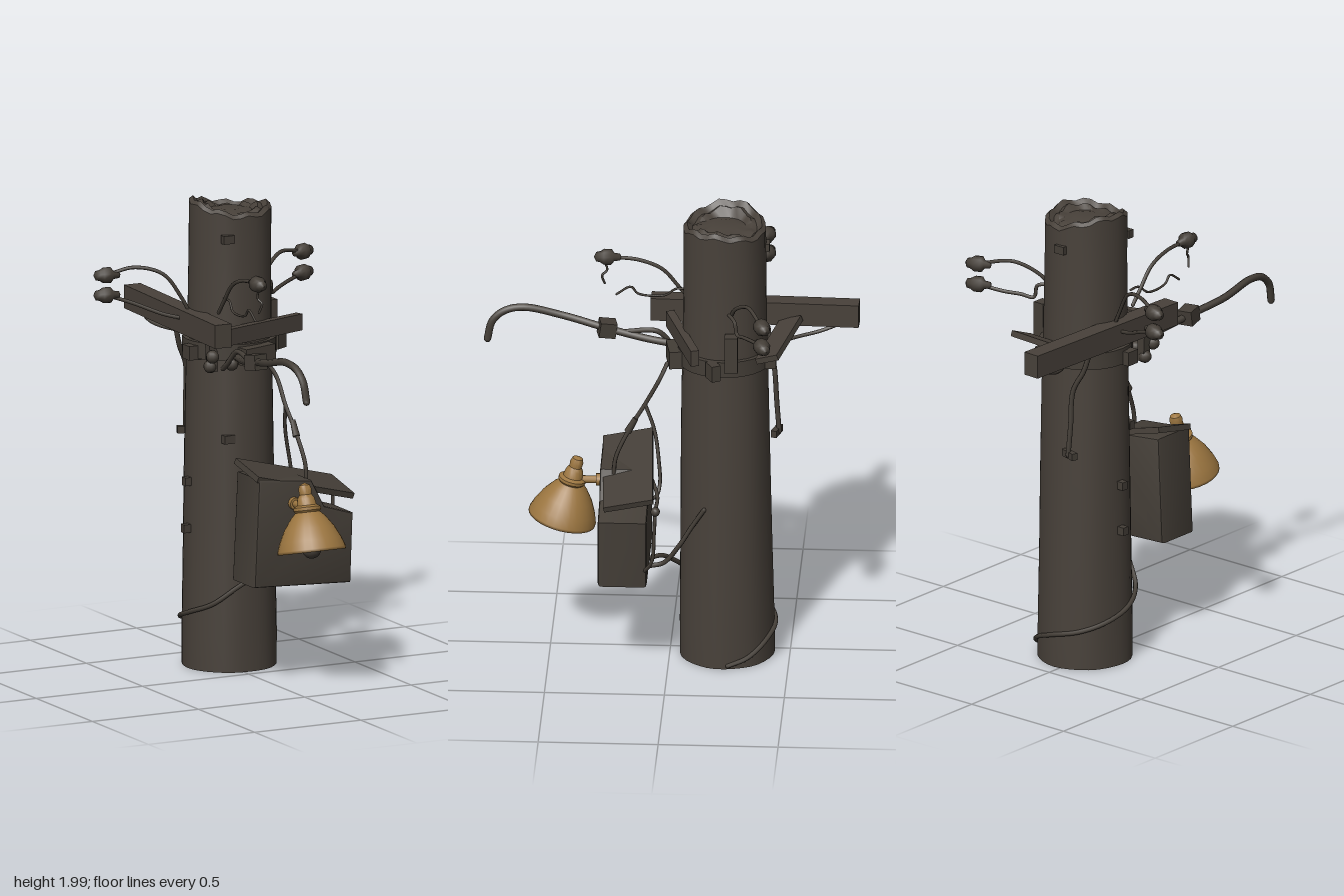
import * as THREE from 'three';
import { toCreasedNormals } from 'three/addons/utils/BufferGeometryUtils.js';

const mat = (name, color, side = THREE.FrontSide) => {
  const m = new THREE.MeshStandardMaterial({ color, side });
  m.name = name;
  return m;
};

export function createModel() {
  const root = new THREE.Group();
  root.name = 'utilityPole';
  const wood = mat('weatheredWood', 0x48413a);
  const iron = mat('darkIron', 0x443e37);
  const brass = mat('agedBrass', 0x9c7640, THREE.DoubleSide);

  const add = (name, geo, material, pos = [0, 0, 0], rot = [0, 0, 0], parent = root) => {
    const m = new THREE.Mesh(geo, material);
    m.name = name;
    m.position.set(...pos);
    m.rotation.set(...rot);
    parent.add(m);
    return m;
  };
  const box = (name, size, pos, rot, material = iron) =>
    add(name, new THREE.BoxGeometry(...size), material, pos, rot);
  const lathe = (pts, seg) =>
    new THREE.LatheGeometry(pts.map(([r, y]) => new THREE.Vector2(r, y)), seg);
  const cable = (name, pts, r = 0.008) => {
    const curve = new THREE.CatmullRomCurve3(pts.map(p => new THREE.Vector3(...p)));
    // small spheres close the ends
    [pts[0], pts[pts.length - 1]].forEach(p => add(name + 'End', new THREE.SphereGeometry(r, 7, 5), iron, p));
    return add(name, new THREE.TubeGeometry(curve, pts.length * 6, r, 7), iron);
  };

  // Pole: slightly bulging trunk with a hollowed, ragged top
  const trunk = lathe([[0, 0.005], [0.198, 0.005], [0.198, 0.15], [0.192, 0.5], [0.188, 0.8], [0.182, 1.2],
    [0.175, 1.5], [0.172, 1.8], [0.172, 1.95], [0.155, 1.965], [0.135, 1.945], [0.115, 1.955],
    [0.09, 1.94], [0.05, 1.95], [0, 1.945]], 32);
  const p = trunk.attributes.position;
  for (let i = 0; i < p.count; i++) {
    const x = p.getX(i), y = p.getY(i), z = p.getZ(i);
    const r = Math.hypot(x, z), a = r > 1e-4 ? Math.atan2(z, x) : 0;
    const k = 1 + 0.01 * Math.sin(3 * a + y * 3) + 0.008 * Math.sin(7 * a);
    const lift = y > 1.9 && r > 0.1 ? 0.016 * Math.sin(2 * a + 1) - 0.09 * x + 0.008 * Math.sin(9 * a) : 0;
    p.setXYZ(i, x * k + 0.03, y + lift, z * k - 0.235 + y * 0.005);
  }
  add('pole', toCreasedNormals(trunk, 0.7), wood);

  // Timber arms around the pole
  box('crossBeam', [0.075, 0.1, 0.87], [-0.152, 1.48, -0.345], [0, -0.035, 0], wood);
  box('frontPlank', [0.42, 0.07, 0.035], [0.1, 1.455, -0.055], [0, 0.3, 0], wood);
  box('backPlank', [0.35, 0.025, 0.1], [0.06, 1.44, -0.455], [0.35, -0.26, 0], wood);

  // Clamp band with its brackets
  const band = lathe([[0.17, 1.335], [0.197, 1.335], [0.197, 1.405], [0.17, 1.405]], 28);
  add('clampBand', toCreasedNormals(band, 0.7), iron, [0.03, 0, -0.228]);
  box('frontBracket', [0.15, 0.075, 0.06], [0.05, 1.36, -0.02], [0, 0.15, 0.05]);
  box('sideBlock', [0.05, 0.16, 0.055], [0.235, 1.45, -0.265]);
  box('sideLug', [0.06, 0.07, 0.04], [0.24, 1.37, -0.19], [0, 0.5, 0]);
  box('leftStrap', [0.035, 0.2, 0.04], [-0.145, 1.4, -0.06], [0, 0, 0.05]);
  box('leftLug', [0.06, 0.06, 0.06], [-0.165, 1.36, -0.19]);
  box('backLug', [0.07, 0.07, 0.05], [0.09, 1.37, -0.42]);

  // Bolts and pegs
  for (const [x, y, z] of [[-0.06, 1.85, -0.073], [-0.06, 1.0, -0.065], [-0.16, 0.8, -0.23],
    [-0.165, 0.6, -0.23], [0.02, 1.85, -0.4]])
    box('peg', [0.05, 0.035, 0.03], [x, y, z]);

  // Insulators: knobs on bent wires
  const knob = lathe([[0, -0.06], [0.014, -0.055], [0.018, -0.03], [0.034, -0.018], [0.034, 0.012],
    [0.024, 0.028], [0.02, 0.045], [0, 0.055]], 10);
  const insulator = (pts, dir) => {
    cable('insulatorWire', pts, 0.008);
    const m = add('insulator', knob, iron, pts[pts.length - 1]);
    m.quaternion.setFromUnitVectors(new THREE.Vector3(0, 1, 0), new THREE.Vector3(...dir).normalize());
  };
  insulator([[-0.14, 1.5, -0.25], [-0.18, 1.58, -0.26], [-0.25, 1.68, -0.29], [-0.36, 1.71, -0.34], [-0.47, 1.68, -0.38]], [-1, 0, -0.3]);
  insulator([[-0.17, 1.49, -0.25], [-0.25, 1.51, -0.28], [-0.37, 1.56, -0.34], [-0.47, 1.595, -0.38]], [-1, 0, -0.3]);
  insulator([[0.19, 1.6, -0.26], [0.23, 1.65, -0.28], [0.33, 1.705, -0.34], [0.47, 1.68, -0.405]], [1, 0, -0.4]);
  insulator([[0.19, 1.61, -0.25], [0.25, 1.6, -0.28], [0.26, 1.55, -0.29], [0.31, 1.56, -0.32], [0.37, 1.57, -0.36], [0.47, 1.59, -0.405]], [1, 0, -0.4]);
  insulator([[-0.1, 1.54, -0.08], [-0.1, 1.6, -0.03], [-0.1, 1.68, 0.04], [-0.1, 1.72, 0.14], [-0.1, 1.73, 0.27]], [0, 0, 1]);
  cable('looseWire', [[-0.1, 1.73, 0.29], [-0.1, 1.67, 0.27], [-0.09, 1.65, 0.29], [-0.1, 1.61, 0.28]], 0.005);
  cable('looseWire', [[-0.08, 1.6, -0.07], [-0.08, 1.6, -0.02], [-0.09, 1.565, 0.03], [-0.09, 1.57, 0.14],
    [-0.09, 1.6, 0.17], [-0.09, 1.565, 0.23]], 0.005);

  // Hooked pipe arm with a collar
  cable('hookArm', [[-0.04, 1.36, -0.06], [-0.08, 1.37, 0.1], [-0.11, 1.4, 0.27], [-0.15, 1.435, 0.45],
    [-0.15, 1.47, 0.62], [-0.145, 1.455, 0.7], [-0.14, 1.41, 0.75], [-0.135, 1.33, 0.77]], 0.016);
  box('armCollar', [0.065, 0.065, 0.07], [-0.11, 1.4, 0.27], [-0.15, 0.2, 0]);
  cable('armBrace', [[-0.1, 1.31, -0.04], [-0.1, 1.34, 0.0], [-0.09, 1.4, 0.06], [-0.1, 1.39, 0.2]], 0.011);
  for (const [x, y, z] of [[-0.16, 1.37, -0.02], [-0.07, 1.33, -0.02], [-0.15, 1.32, -0.06]])
    add('armBolt', new THREE.SphereGeometry(0.028, 10, 7), iron, [x, y, z]);

  // Junction box: bevelled block with a cut corner and a sloping lid
  const outline = new THREE.Shape([[-0.11, 0.45], [0.32, 0.43], [0.33, 0.705], [0.2, 0.745], [0.14, 0.86], [-0.09, 0.885]]
    .map(q => new THREE.Vector2(...q)));
  const body = new THREE.ExtrudeGeometry(outline, { depth: 0.18, bevelThickness: 0.012, bevelSize: 0.012, bevelSegments: 2 });
  add('junctionBox', toCreasedNormals(body, 0.7), iron, [0, 0, 0.095]);
  box('boxLid', [0.48, 0.025, 0.21], [0.125, 0.86, 0.17], [0.2, 0, -0.26]);

  // Shaded lamp on the box front
  const lamp = new THREE.Group();
  lamp.name = 'lamp';
  lamp.position.set(0.06, 0.608, 0.45);
  lamp.rotation.x = -0.24;
  root.add(lamp);
  add('lampShade', lathe([[0.135, 0.004], [0.143, 0], [0.143, 0.012], [0.13, 0.05], [0.105, 0.1], [0.073, 0.145],
    [0.048, 0.17]], 28), brass, undefined, undefined, lamp);
  add('lampCap', toCreasedNormals(lathe([[0, 0.165], [0.05, 0.165], [0.058, 0.175], [0.058, 0.188], [0.042, 0.196],
    [0.036, 0.225], [0.026, 0.24], [0.028, 0.262], [0.022, 0.28], [0, 0.29]], 20), 0.6), brass, undefined, undefined, lamp);
  add('bulb', new THREE.SphereGeometry(0.04, 16, 12), iron, [0, 0.012, 0], undefined, lamp);
  add('bulbNeck', new THREE.CylinderGeometry(0.025, 0.03, 0.14, 12), iron, [0, 0.1, 0], undefined, lamp);
  add('lampBracket', new THREE.CylinderGeometry(0.016, 0.016, 0.12, 10), brass, [0.06, 0.785, 0.335], [Math.PI / 2, 0, 0]);
  add('lampMount', new THREE.CylinderGeometry(0.026, 0.026, 0.025, 12), brass, [0.06, 0.785, 0.295], [Math.PI / 2, 0, 0]);

  // Cables from the clamp down to the box
  cable('dropCable', [[0.08, 1.33, 0.01], [0.11, 1.27, 0.04], [0.12, 1.16, 0.1], [0.135, 1.06, 0.16], [0.15, 0.93, 0.22], [0.15, 0.85, 0.23]], 0.009);
  add('cableJoint', new THREE.CylinderGeometry(0.012, 0.016, 0.07, 8), iron, [0.134, 1.07, 0.155], [-0.5, 0, 0]);
  cable('dropCable', [[0.12, 1.16, 0.1], [0.14, 1.05, 0.06], [0.17, 0.92, 0.04], [0.19, 0.83, 0.035], [0.21, 0.78, 0.05], [0.2, 0.76, 0.09]]);
  cable('sideCable', [[0.18, 0.85, 0.07], [0.28, 0.81, 0.04], [0.36, 0.78, 0.045], [0.37, 0.68, 0.05], [0.36, 0.55, 0.06], [0.32, 0.48, 0.1]]);
  add('cablePlug', new THREE.SphereGeometry(0.02, 10, 7), iron, [0.365, 0.78, 0.045]);

  // Cable from the box underside winding round the pole foot
  cable('footCable', [[0.1, 0.44, 0.1], [0.05, 0.44, 0.04], [-0.03, 0.38, -0.02], [-0.12, 0.3, -0.085], [-0.172, 0.25, -0.2],
    [-0.155, 0.21, -0.32], [-0.08, 0.175, -0.405], [0.04, 0.145, -0.44], [0.15, 0.1, -0.4], [0.21, 0.05, -0.33], [0.228, 0.02, -0.25]], 0.01);
  cable('boxCable', [[0.16, 0.44, 0.08], [0.17, 0.46, 0.02], [0.19, 0.54, -0.04], [0.195, 0.64, -0.1], [0.205, 0.72, -0.15]], 0.01);

  // Cables at the back
  cable('backCable', [[-0.13, 1.41, -0.4], [-0.11, 1.34, -0.41], [-0.07, 1.25, -0.43], [-0.065, 1.1, -0.44], [-0.06, 0.97, -0.45]], 0.011);
  box('backCableEnd', [0.08, 0.03, 0.025], [-0.06, 0.97, -0.44], [0, -0.3, 0]);
  cable('beamStay', [[0.0, 1.38, -0.42], [-0.08, 1.385, -0.5], [-0.13, 1.4, -0.62], [-0.14, 1.44, -0.72]], 0.008);
  return root;
}
